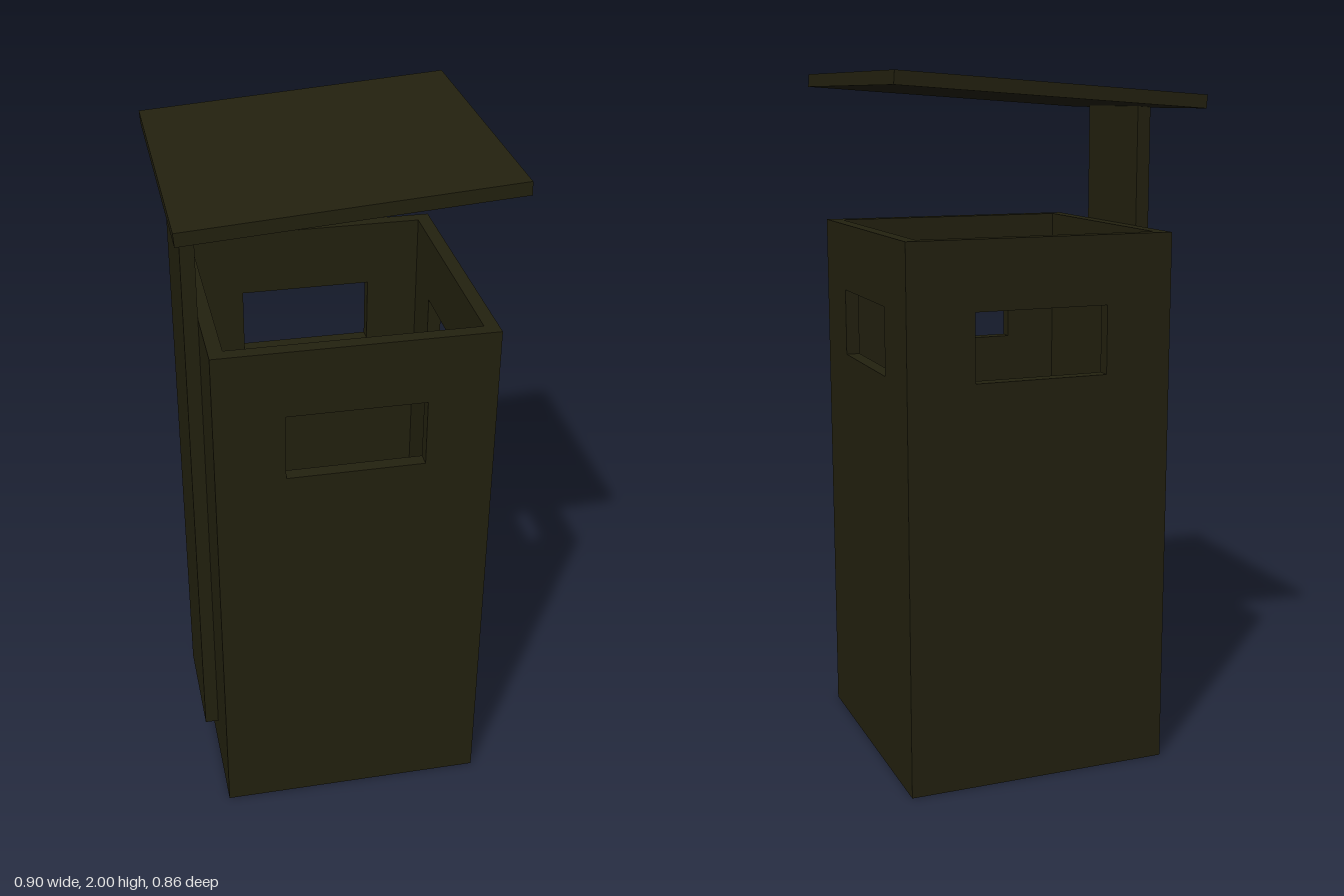
import * as THREE from 'three';

const W = 0.78, H = 1.565, T = 0.04;      // body width, height, wall thickness
const CX = 0.02;                          // body centre in x
const WIN = { w: 0.39, y0: 1.175, y1: 1.37 };

// Upright panel centred on x, thickness along z, with an optional window
function panelGeometry(width, hasWindow) {
  const h = width / 2;
  const shape = new THREE.Shape([
    new THREE.Vector2(-h, 0), new THREE.Vector2(h, 0),
    new THREE.Vector2(h, H), new THREE.Vector2(-h, H),
  ]);
  if (hasWindow) {
    const k = WIN.w / 2;
    shape.holes.push(new THREE.Path([
      new THREE.Vector2(-k, WIN.y0), new THREE.Vector2(-k, WIN.y1),
      new THREE.Vector2(k, WIN.y1), new THREE.Vector2(k, WIN.y0),
    ]));
  }
  return new THREE.ExtrudeGeometry(shape, { depth: T, bevelEnabled: false })
    .translate(0, 0, -T / 2);
}

export function createModel() {
  const model = new THREE.Group();
  model.name = 'shelteredBin';
  const olive = new THREE.MeshStandardMaterial({ color: 0x23210f });
  olive.name = 'dark olive';

  const add = (name, geometry, x, y, z) => {
    const mesh = new THREE.Mesh(geometry, olive);
    mesh.name = name;
    mesh.position.set(x, y, z);
    model.add(mesh);
    return mesh;
  };

  // Body: four walls, three of them with a window
  const off = W / 2 - T / 2;
  add('frontWall', panelGeometry(W, true), CX, 0, off);
  add('backWall', panelGeometry(W, true), CX, 0, -off);
  add('leftWall', panelGeometry(W - 2 * T, true), CX + off, 0, 0).rotation.y = Math.PI / 2;
  add('rightWall', panelGeometry(W - 2 * T, false), CX - off, 0, 0).rotation.y = Math.PI / 2;

  // Floor between the walls
  add('floor', new THREE.BoxGeometry(W - 2 * T, T, W - 2 * T), CX, T / 2, 0);

  // Flat post on the windowless side, carrying the roof
  add('post', new THREE.BoxGeometry(0.04, 1.79, 0.33), -0.39, 0.12 + 1.79 / 2, 0);

  // Tilted roof plate
  add('roof', new THREE.BoxGeometry(0.895, 0.037, 0.86), 0, 1.951, 0).rotation.z = 0.068;

  return model;
}
